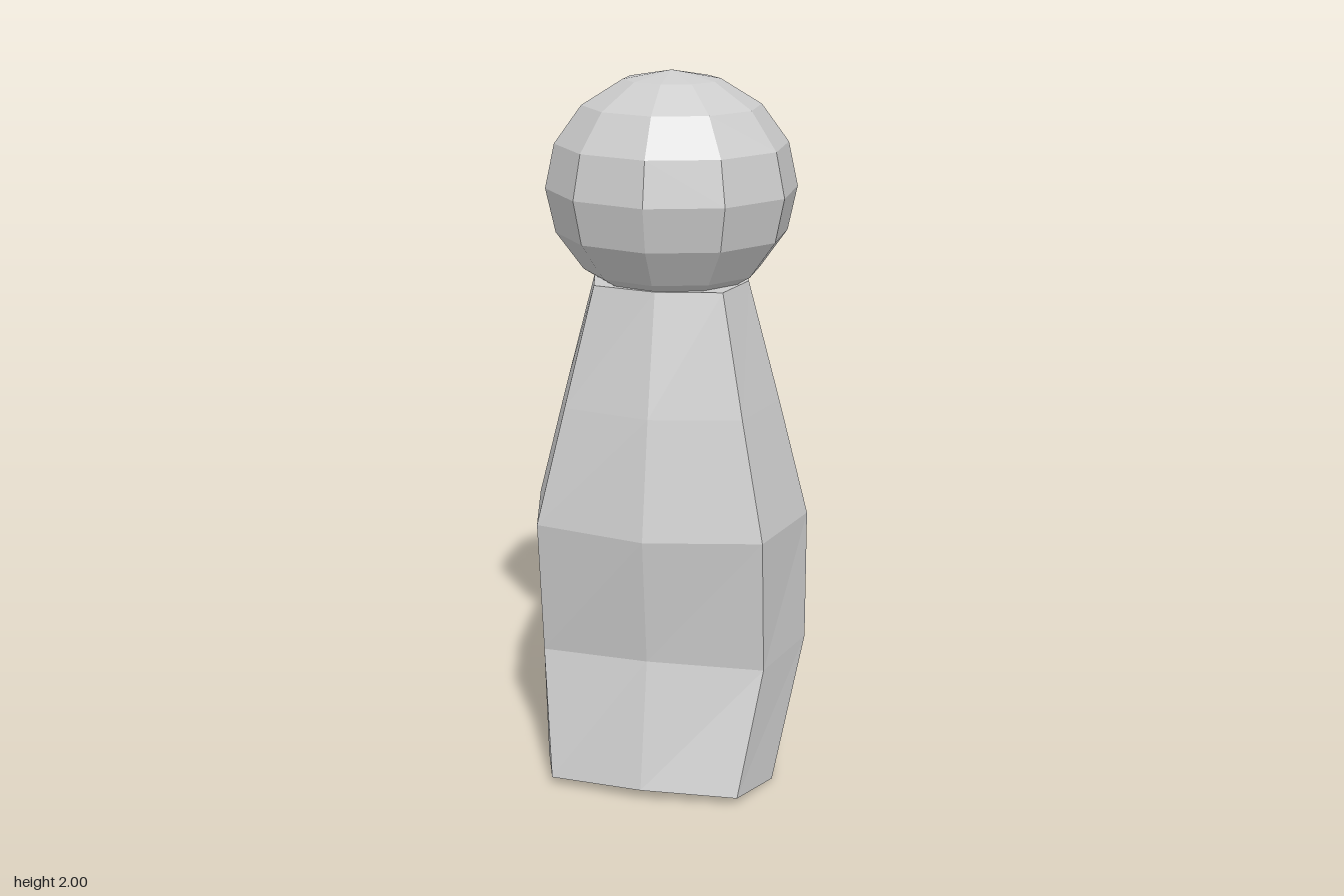
import * as THREE from 'three';

const material = new THREE.MeshStandardMaterial({ color: 0xcccccc, flatShading: true });

// Eight-sided ring from five half-profile points [x, y, z], front centre to back centre
function mirrorRing(half) {
  const other = half.slice(1, -1).reverse().map(([x, y, z]) => [-x, y, z]);
  return [...half, ...other];
}

// Ring at one height: corner and side widths, then depths from front to back
function levelRing(y, cornerX, sideX, front, frontCorner, side, backCorner, back) {
  return mirrorRing([
    [0, y, front], [cornerX, y, frontCorner], [sideX, y, side],
    [cornerX, y, backCorner], [0, y, back],
  ]);
}

// Skin between rings listed bottom to top, with a fan cap on each end
function loft(rings) {
  const positions = [];
  const n = rings[0].length;
  const tri = (...corners) => corners.forEach((p) => positions.push(...p));
  const middle = (ring) => [0, 1, 2].map((k) => ring.reduce((s, p) => s + p[k], 0) / n);
  const bottom = rings[0];
  const top = rings[rings.length - 1];
  const low = middle(bottom);
  const high = middle(top);
  for (let j = 0; j < n; j++) {
    const k = (j + 1) % n;
    for (let i = 0; i < rings.length - 1; i++) {
      const [a, b] = [rings[i], rings[i + 1]];
      tri(a[j], a[k], b[k]);
      tri(a[j], b[k], b[j]);
    }
    tri(low, bottom[k], bottom[j]);
    tri(high, top[j], top[k]);
  }
  const geometry = new THREE.BufferGeometry();
  geometry.setAttribute('position', new THREE.Float32BufferAttribute(positions, 3));
  geometry.computeVertexNormals();
  return geometry;
}

export function createModel() {
  const model = new THREE.Group();
  const add = (name, geometry) => {
    const mesh = new THREE.Mesh(geometry, material);
    mesh.name = name;
    model.add(mesh);
    return mesh;
  };

  // Body, with the base kicked out towards +z as a stubby tail
  add('body', loft([
    mirrorRing([[0, 0.035, 0.535], [0.27, 0.025, 0.5], [0.335, 0.002, 0.32],
      [0.27, 0.01, -0.07], [0, 0.015, -0.13]]),
    mirrorRing([[0, 0.395, 0.455], [0.32, 0.372, 0.39], [0.395, 0.385, 0.157],
      [0.32, 0.385, -0.115], [0, 0.385, -0.18]]),
    levelRing(0.765, 0.32, 0.395, 0.498, 0.43, 0.157, -0.115, -0.18),
    levelRing(1.095, 0.25, 0.31, 0.43, 0.375, 0.157, -0.06, -0.117),
    levelRing(1.43, 0.18, 0.22, 0.345, 0.31, 0.157, 0.01, -0.03),
  ]));

  // Faceted head, slightly wider than deep
  const head = add('head', new THREE.SphereGeometry(1, 10, 8, Math.PI / 2));
  head.scale.set(0.35, 0.32, 0.322);
  head.position.set(0, 1.68, 0.148);

  // Flat beak pointing to -z; side outline drawn as (-z, y)
  const outline = new THREE.Shape([
    [0.1, 1.545], [0.33, 1.548], [0.535, 1.56], [0.535, 1.585], [0.33, 1.66], [0.1, 1.66],
  ].map(([x, y]) => new THREE.Vector2(x, y)));
  const beak = new THREE.ExtrudeGeometry(outline, { depth: 0.156, bevelEnabled: false });
  beak.translate(0, 0, -0.078).rotateY(Math.PI / 2);
  add('beak', beak);

  return model;
}
